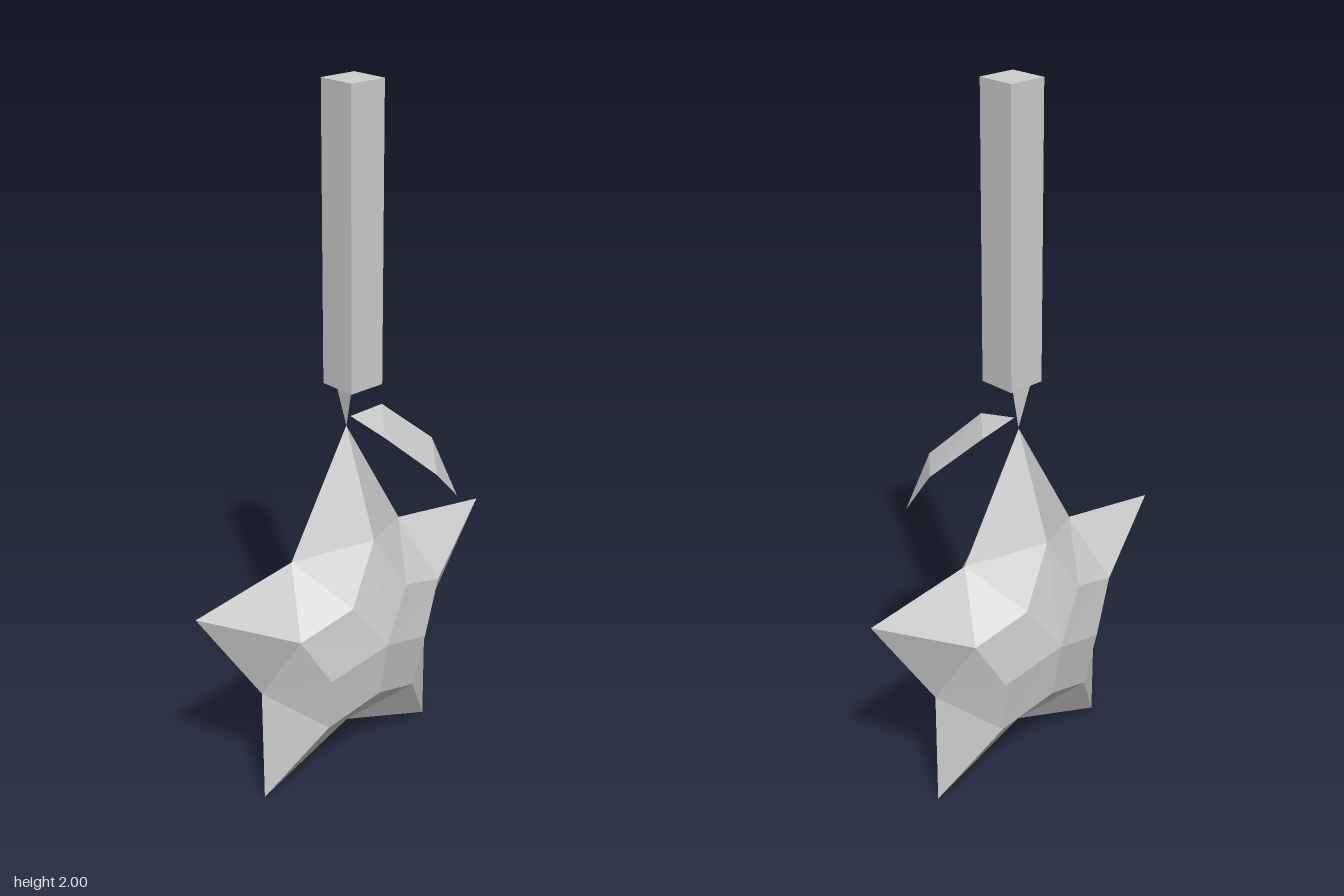
import * as THREE from 'three';

const grey = new THREE.MeshStandardMaterial({ color: 0xcccccc, flatShading: true, side: THREE.DoubleSide });
grey.name = 'light grey';

// Mesh from triangles given as lists of [x, y, z] corners
function facetMesh(name, triangles) {
  const geometry = new THREE.BufferGeometry();
  geometry.setAttribute('position', new THREE.Float32BufferAttribute(triangles.flat(2), 3));
  geometry.computeVertexNormals();
  return named(name, geometry);
}

function named(name, geometry) {
  const mesh = new THREE.Mesh(geometry, grey);
  mesh.name = name;
  return mesh;
}

// Faceted five-pointed star, domed on the front and back
function createStar() {
  const midZ = -0.026;
  // Right half from the top tip down to the bottom notch; tips and notches alternate
  const outline = [[0, 1.07], [0.2, 0.725], [0.525, 0.675], [0.315, 0.355], [0.315, 0.005], [0, 0.125]];
  // Matching inner ring: x, y, height of the dome
  const inner = [[0, 0.765, 0.112], [0.1, 0.6, 0.138], [0.26, 0.543, 0.106],
    [0.18, 0.4, 0.138], [0.163, 0.228, 0.108], [0, 0.288, 0.141]];
  const triangles = [];
  for (const face of [1, -1]) {
    for (const side of [1, -1]) {
      const at = ([x, y, h = 0]) => [x * side, y, midZ + h * face];
      const add = (a, b, c) => triangles.push(face * side > 0 ? [a, c, b] : [a, b, c]);
      const centre = at([0, 0.457, 0.171]);
      for (let i = 0; i < 5; i++) {
        const o0 = at(outline[i]), o1 = at(outline[i + 1]);
        const r0 = at(inner[i]), r1 = at(inner[i + 1]);
        add(centre, r0, r1);
        // Each arm's side splits along the line from its ridge to the notch
        if (i % 2 === 0) {
          add(r0, o0, o1);
          add(r0, o1, r1);
        } else {
          add(r0, o0, r1);
          add(r1, o0, o1);
        }
      }
    }
  }
  return facetMesh('star', triangles);
}

// Bent leaf hanging from the stem
function createLeaf() {
  const base = [0.005, 1.1, -0.015], tip = [0.247, 0.845, 0.157];
  const rightUpper = [0.141, 1.09, -0.037], rightLower = [0.251, 0.985, 0.05];
  const leftUpper = [0.014, 1.075, 0.107], leftLower = [0.127, 0.96, 0.195];
  return facetMesh('leaf', [
    [base, leftUpper, rightUpper],
    [leftUpper, leftLower, rightLower],
    [leftUpper, rightLower, rightUpper],
    [leftLower, tip, rightLower],
  ]);
}

export function createModel() {
  const model = new THREE.Group();
  model.name = 'hangingStar';

  // Square hanging bar
  const bar = named('hangingBar', new THREE.BoxGeometry(0.11, 0.8, 0.11));
  bar.position.y = 1.6;

  // Three-sided stem tapering down to the star
  const stem = named('stem', new THREE.CylinderGeometry(0.041, 0, 0.15, 3, 1, false, Math.PI / 2));
  stem.scale.x = 0.7;
  stem.position.set(-0.003, 1.145, -0.022);

  model.add(createStar(), createLeaf(), bar, stem);
  return model;
}
